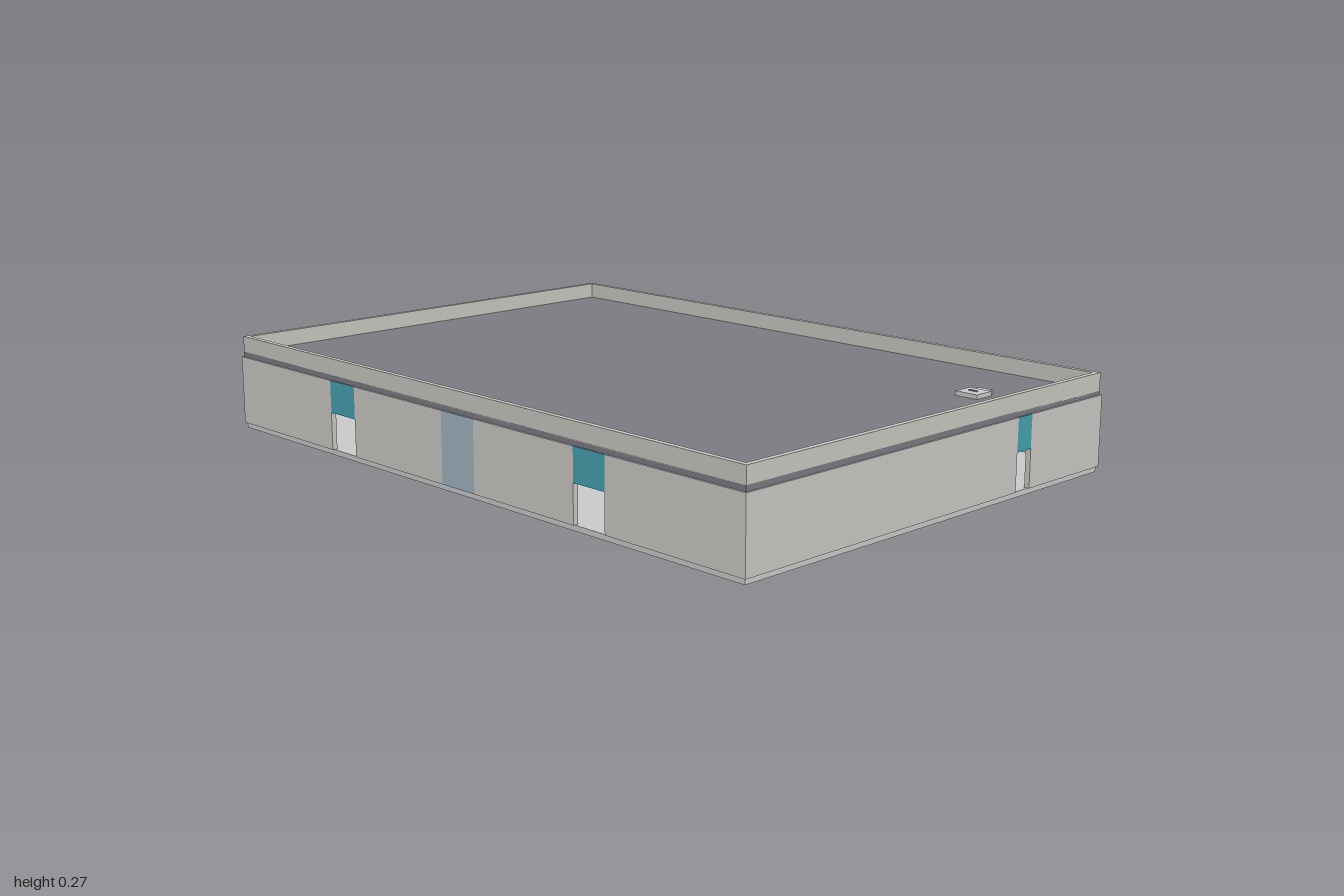
import * as THREE from 'three';

const mat = (color) => new THREE.MeshStandardMaterial({ color });
const MAT = {
  wall: mat(0xcccac6), parapet: mat(0xc8c9c2), roof: mat(0x7d7b83), grey: mat(0xcccccc),
  teal: mat(0x46a2b2), glass: mat(0xa2b6c1), red: mat(0xc4584f), dark: mat(0x8e8d88),
};

// Box given by its lower and upper corners
function block(name, material, x0, x1, y0, y1, z0, z1) {
  const mesh = new THREE.Mesh(new THREE.BoxGeometry(x1 - x0, y1 - y0, z1 - z0), material);
  mesh.position.set((x0 + x1) / 2, (y0 + y1) / 2, (z0 + z1) / 2);
  mesh.name = name;
  return mesh;
}

const T = 0.015;            // wall thickness
const Y0 = 0.015, Y1 = 0.21; // wall foot and head
const DOOR = 0.12;          // head of the open doorways
const HX = 1, HZ = 0.682;   // half width and half depth of the building

// Wall along local x with its outer face at z = 0, split by doorways and full-height panels
function makeWall(name, half, bays) {
  const wall = new THREE.Group();
  wall.name = name;
  let x = -half;
  for (const { from, to, kind } of bays) {
    wall.add(block('wallSection', MAT.wall, x, from, Y0, Y1, -T, 0));
    if (kind === 'door') wall.add(block('doorHeader', MAT.teal, from, to, DOOR, Y1, -T, 0));
    else wall.add(block(kind + 'Panel', MAT[kind], from, to, Y0, Y1, -T, 0));
    x = to;
  }
  wall.add(block('wallSection', MAT.wall, x, half, Y0, Y1, -T, 0));
  return wall;
}

export function createModel() {
  const model = new THREE.Group();
  model.name = 'warehouse';
  const building = new THREE.Group();
  building.name = 'building';
  building.position.z = 0.005;
  model.add(building);

  // Floor and roof slabs, set in slightly from the walls
  const ex = HX - 0.005, ez = HZ - 0.005;
  building.add(block('floorSlab', MAT.grey, -ex, ex, 0, Y0, -ez, ez));
  building.add(block('roofSlab', MAT.roof, -ex, ex, Y1, 0.225, -ez, ez));

  // Four walls, each turned to face outwards
  const front = makeWall('frontWall', HX, [
    { from: -0.555, to: -0.445, kind: 'door' },
    { from: -0.065, to: 0.065, kind: 'glass' },
    { from: 0.44, to: 0.55, kind: 'door' },
  ]);
  front.position.z = HZ;
  const back = makeWall('backWall', HX, [
    { from: -0.385, to: -0.195, kind: 'door' },
    { from: 0.675, to: 0.732, kind: 'door' },
  ]);
  back.position.z = -HZ;
  back.rotation.y = Math.PI;
  const left = makeWall('leftWall', HZ - T, [{ from: 0.31, to: 0.368, kind: 'door' }]);
  left.position.x = HX;
  left.rotation.y = Math.PI / 2;
  const right = makeWall('rightWall', HZ - T, [
    { from: -0.515, to: -0.435, kind: 'glass' },
    { from: -0.035, to: 0.035, kind: 'red' },
  ]);
  right.position.x = -HX;
  right.rotation.y = -Math.PI / 2;
  building.add(front, back, left, right);

  // Parapet: a hollow rectangle raised above the roof edge
  const rim = new THREE.Shape([[-ex, -ez], [ex, -ez], [ex, ez], [-ex, ez]].map((p) => new THREE.Vector2(...p)));
  const ix = ex - T, iz = ez - T;
  rim.holes.push(new THREE.Path([[-ix, -iz], [-ix, iz], [ix, iz], [ix, -iz]].map((p) => new THREE.Vector2(...p))));
  const parapet = new THREE.Mesh(new THREE.ExtrudeGeometry(rim, { depth: 0.05, bevelEnabled: false }), MAT.parapet);
  parapet.name = 'parapet';
  parapet.rotation.x = -Math.PI / 2;
  parapet.position.y = 0.22;
  building.add(parapet);

  // Low block inside, seen through the front doorway
  model.add(block('interiorBlock', MAT.dark, -0.62, -0.4, Y0, 0.085, -0.25, -0.05));

  // Red standpipe on the back wall
  model.add(block('standpipe', MAT.red, -0.565, -0.552, 0.025, Y1, -0.685, -0.677));

  // Small roof vent unit
  const vent = new THREE.Group();
  vent.name = 'roofVent';
  vent.add(block('ventBody', MAT.grey, 0.775, 0.845, 0.225, 0.237, -0.402, -0.34));
  vent.add(block('ventDuct', MAT.grey, 0.787, 0.833, 0.225, 0.235, -0.425, -0.402));
  vent.add(block('ventHandle', MAT.dark, 0.797, 0.823, 0.237, 0.24, -0.373, -0.368));
  model.add(vent);

  return model;
}
